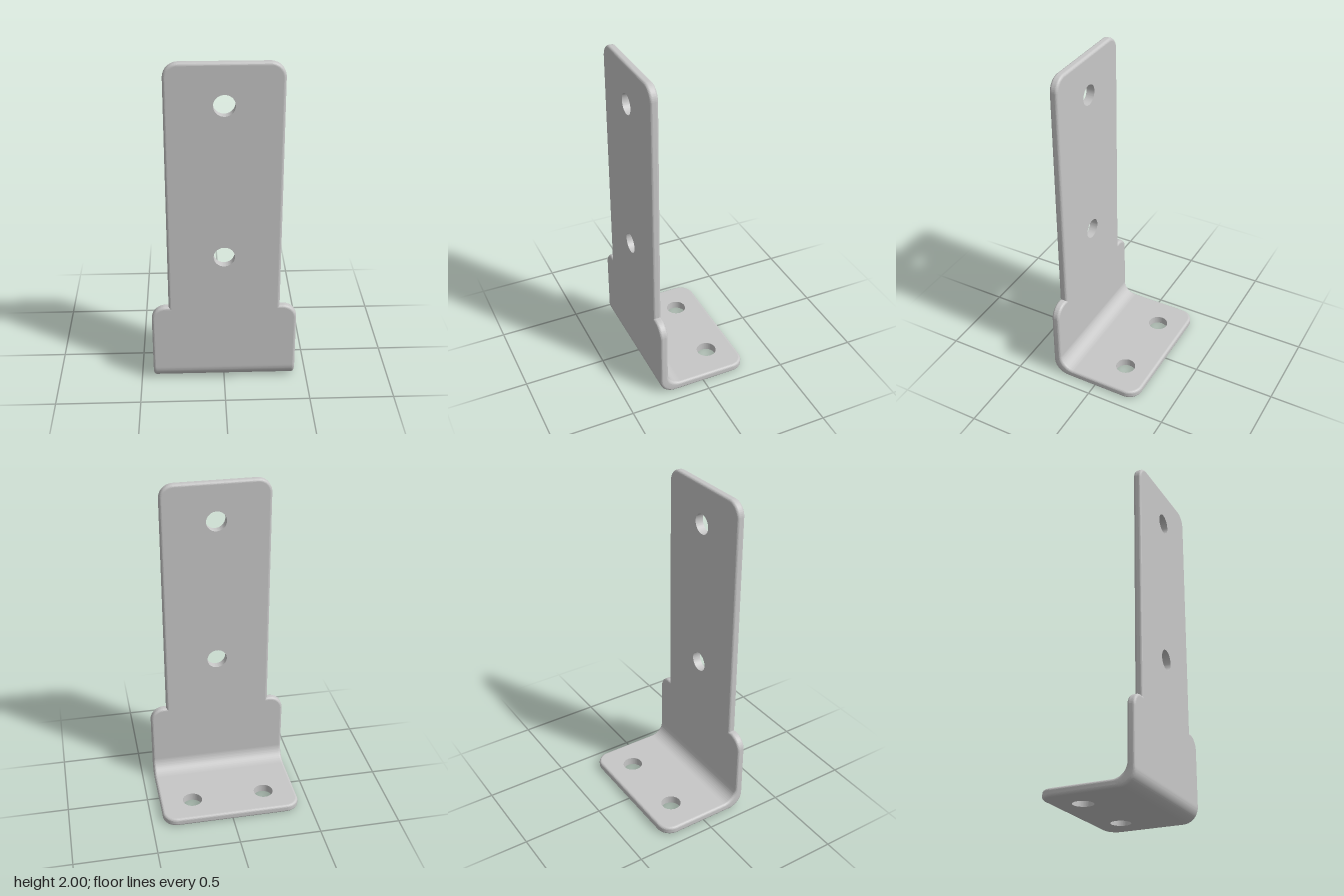
import * as THREE from 'three';
import { toCreasedNormals } from 'three/addons/utils/BufferGeometryUtils.js';

const T = 0.05;        // sheet thickness
const EDGE = 0.016;    // edge rounding
const W = 0.428;       // half width of foot and lower upright
const FRONT = 0.287, BACK = 0.287;
const INNER = 0.085;   // radius inside the bend
const ROUND = 0.092;   // radius outside the bend
const REACH = INNER + T;
const BEND = { y: REACH, z: FRONT - REACH };
const CREASE = 0.12;

// Flat sheet with rounded edges, straight holes and a square cut at the bend line (y = cutY)
function sheet(shape, holes, cutY) {
  for (const [x, y, r] of holes) {
    shape.holes.push(new THREE.Path().absarc(x, y, r, 0, Math.PI * 2, true));
  }
  const geo = new THREE.ExtrudeGeometry(shape, {
    depth: T - 2 * EDGE, curveSegments: 30,
    bevelSize: EDGE, bevelThickness: EDGE, bevelOffset: -EDGE, bevelSegments: 6,
  });
  geo.translate(0, 0, EDGE);
  const pos = geo.attributes.position;
  for (let i = 0; i < pos.count; i++) {
    let x = pos.getX(i), y = Math.max(pos.getY(i), cutY);
    for (const [hx, hy, r] of holes) {
      const d = Math.hypot(x - hx, y - hy);
      if (d < r * 1.5) {
        x = hx + (x - hx) * r / d;
        y = hy + (y - hy) * r / d;
      }
    }
    pos.setXY(i, x, y);
  }
  return toCreasedNormals(geo, CREASE);
}

// Distance from the bend centre to the outer skin in direction (c, s)
function outerDistance(c, s) {
  const k = REACH - ROUND;
  const flat = REACH / Math.max(c, s);
  if (flat * Math.min(c, s) <= k) return flat;
  const b = k * (c + s);
  return b + Math.sqrt(ROUND * ROUND - 2 * k * k + b * b);
}

export function createModel() {
  const group = new THREE.Group();
  group.name = 'angleBracket';
  const steel = new THREE.MeshStandardMaterial({ color: 0xc7c7c7 });
  steel.name = 'light grey steel';
  const add = (name, geo) => {
    const mesh = new THREE.Mesh(geo, steel);
    mesh.name = name;
    group.add(mesh);
  };

  // Upright: wide lower part with round shoulders, narrower strap above
  const n = 0.327, shoulder = 0.515, rs = 0.085, rt = 0.085;
  const up = new THREE.Shape();
  up.moveTo(-W, BEND.y - 0.04);
  up.lineTo(W, BEND.y - 0.04);
  up.absarc(W - rs, shoulder - rs, rs, 0, Math.PI / 2);
  up.lineTo(n, shoulder);
  up.absarc(n - rt, 2 - rt, rt, 0, Math.PI / 2);
  up.absarc(-n + rt, 2 - rt, rt, Math.PI / 2, Math.PI);
  up.lineTo(-n, shoulder);
  up.absarc(-W + rs, shoulder - rs, rs, Math.PI / 2, Math.PI);
  up.closePath();
  const upright = sheet(up, [[0, 1.764, 0.061], [0, 0.85, 0.061]], BEND.y);
  upright.translate(0, 0, FRONT - T);
  add('upright', upright);

  // Foot: drawn flat with y pointing to the back, then laid down
  const rf = 0.087;
  const ft = new THREE.Shape();
  ft.moveTo(-W, -BEND.z - 0.04);
  ft.lineTo(W, -BEND.z - 0.04);
  ft.absarc(W - rf, BACK - rf, rf, 0, Math.PI / 2);
  ft.absarc(-W + rf, BACK - rf, rf, Math.PI / 2, Math.PI);
  ft.closePath();
  const foot = sheet(ft, [[-0.228, 0.114, 0.06], [0.228, 0.114, 0.06]], -BEND.z);
  foot.rotateX(-Math.PI / 2);
  add('foot', foot);

  // Bend: rounded sheet section swept through a quarter turn, thicker at the corner
  const r0 = INNER + EDGE, r1 = REACH - EDGE, h = W - EDGE, q = Math.PI / 2;
  const section = new THREE.Shape();
  section.absarc(r1, -h, EDGE, -q, 0);
  section.absarc(r1, h, EDGE, 0, q);
  section.absarc(r0, h, EDGE, q, 2 * q);
  section.absarc(r0, -h, EDGE, 2 * q, 3 * q);
  section.closePath();
  const bend = new THREE.LatheGeometry(section.getPoints(3), 32, 0, q);
  bend.rotateZ(-q);
  const pos = bend.attributes.position;
  for (let i = 0; i < pos.count; i++) {
    const y = pos.getY(i), z = pos.getZ(i), r = Math.hypot(y, z);
    const c = Math.abs(z) / r, s = Math.abs(y) / r;
    const d = INNER + (r - INNER) * (outerDistance(c, s) - INNER) / T;
    pos.setXYZ(i, pos.getX(i), -s * d, c * d);
  }
  bend.translate(0, BEND.y, BEND.z);
  add('bend', toCreasedNormals(bend, CREASE));

  return group;
}
